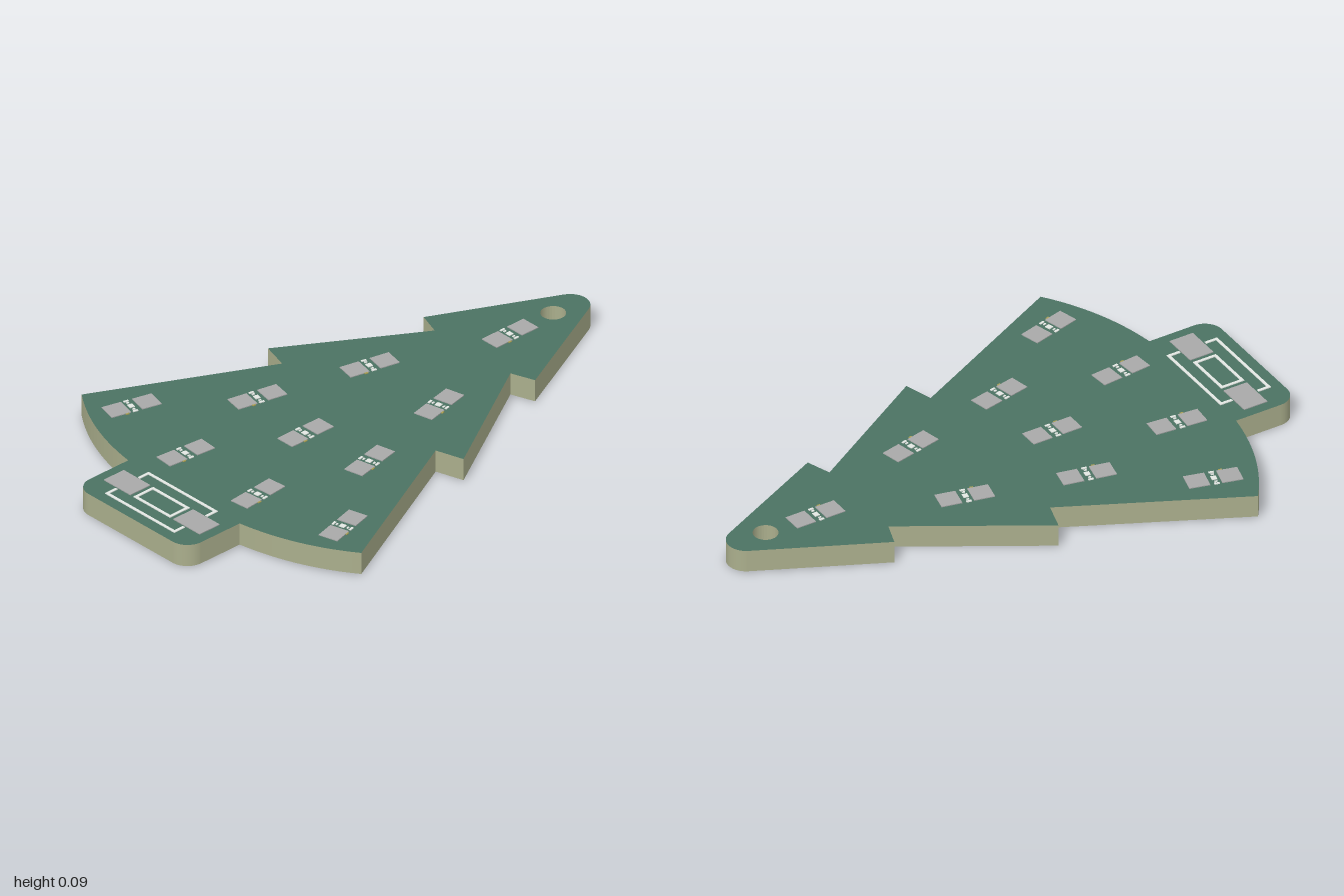
import * as THREE from 'three';

const mat = (name, color) => {
  const m = new THREE.MeshStandardMaterial({ color });
  m.name = name;
  return m;
};

export function createModel() {
  const green = mat('greenMask', 0x4b7262);
  const cream = mat('boardCore', 0xaaae8c);
  const grey = mat('padMetal', 0xa8a8a8);
  const white = mat('whiteInk', 0xe6eae6);
  const gold = mat('goldMark', 0xa89f55);

  const root = new THREE.Group();
  root.name = 'treeCircuitBoard';
  const BOTTOM = 0.003, TOP = 0.083, T = 0.003;
  const yTop = TOP + T / 2, yBottom = BOTTOM - T / 2;

  const group = (name, parent = root) => {
    const g = new THREE.Group();
    g.name = name;
    parent.add(g);
    return g;
  };
  // Thin rectangular plate lying on a board face
  const plate = (parent, name, m, x, y, z, w, d, turn = 0) => {
    const p = new THREE.Mesh(new THREE.BoxGeometry(w, T, d), m);
    p.name = name;
    p.position.set(x, y, z);
    p.rotation.y = turn;
    parent.add(p);
  };
  // Thin printed line through a list of [x, z] points
  const line = (parent, name, y, pts, w = 0.008) => {
    for (let i = 1; i < pts.length; i++) {
      const [ax, az] = pts[i - 1], [bx, bz] = pts[i];
      const len = Math.hypot(bx - ax, bz - az) + w;
      plate(parent, name, white, (ax + bx) / 2, y, (az + bz) / 2, w, len, Math.atan2(bx - ax, bz - az));
    }
  };

  // Board: tree outline with rounded tip, trunk and hanging hole
  const s = new THREE.Shape();
  s.moveTo(0.058, 0.965);
  s.lineTo(0.265, 0.535);
  s.lineTo(0.18, 0.505);
  s.lineTo(0.465, 0.035);
  s.lineTo(0.365, 0.005);
  s.lineTo(0.665, -0.6);
  s.quadraticCurveTo(0.49, -0.73, 0.265, -0.765);
  s.lineTo(0.265, -0.935);
  s.absarc(0.2, -0.935, 0.065, 0, -Math.PI / 2, true);
  s.lineTo(-0.2, -1);
  s.absarc(-0.2, -0.935, 0.065, -Math.PI / 2, -Math.PI, true);
  s.lineTo(-0.265, -0.765);
  s.quadraticCurveTo(-0.49, -0.73, -0.665, -0.6);
  s.lineTo(-0.365, 0.005);
  s.lineTo(-0.465, 0.035);
  s.lineTo(-0.18, 0.505);
  s.lineTo(-0.265, 0.535);
  s.lineTo(-0.058, 0.965);
  s.absarc(0, 0.935, 0.065, Math.PI - 0.48, 0.48, true);
  const hole = new THREE.Path();
  hole.absarc(0, 0.86, 0.042, 0, Math.PI * 2, false);
  s.holes.push(hole);
  const geo = new THREE.ExtrudeGeometry(s, { depth: TOP - BOTTOM, bevelEnabled: false, curveSegments: 14 });
  geo.rotateX(-Math.PI / 2);
  geo.translate(0, BOTTOM, 0);
  const board = new THREE.Mesh(geo, [green, cream]);
  board.name = 'board';
  root.add(board);

  // Light footprints on the top face: two pads and small printed marks
  const light = (x, z, turn) => {
    const g = group('lightFootprint');
    g.position.set(x, yTop, z);
    g.rotation.y = turn;
    for (const side of [-1, 1]) {
      plate(g, 'lightPad', grey, 0, 0, side * 0.056, 0.071, 0.071);
      plate(g, 'lightMark', white, side * 0.033, 0, 0.003, 0.008, 0.018);
      plate(g, 'lightMark', white, side * 0.021, 0, 0.003, 0.006, 0.01);
    }
    plate(g, 'polarityMark', white, 0, 0, 0.002, 0.02, 0.018);
    plate(g, 'goldDot', gold, 0.038, 0, 0.035, 0.006, 0.012);
  };
  light(0, -0.67, 0);
  light(0, 0.23, 0);
  for (const [x, z, a] of [[0.165, -0.205, 0.22], [0.267, 0.195, 0.21], [0.503, 0.53, 0.26], [0.172, 0.598, 0.09]]) {
    light(x, z, a);
    light(-x, z, -a);
  }

  // Push button footprint on the trunk
  const button = group('buttonFootprint');
  for (const k of [-1, 1]) {
    plate(button, 'buttonPad', grey, k * 0.165, yTop, 0.863, 0.126, 0.088);
    line(button, 'buttonBracket', yTop,
      k < 0 ? [[-0.16, 0.81], [-0.16, 0.773], [0.16, 0.773], [0.16, 0.81]]
        : [[-0.16, 0.918], [-0.16, 0.955], [0.16, 0.955], [0.16, 0.918]], 0.01);
  }
  line(button, 'buttonFrame', yTop,
    [[-0.082, 0.825], [0.082, 0.825], [0.082, 0.902], [-0.082, 0.902], [-0.082, 0.825]], 0.01);

  // Battery holder on the underside
  const battery = group('batteryFootprint');
  const disc = new THREE.Mesh(new THREE.CylinderGeometry(0.273, 0.273, T, 64), grey);
  disc.name = 'batteryContact';
  disc.position.set(0, yBottom, 0.4);
  battery.add(disc);
  for (const k of [-1, 1]) {
    plate(battery, 'batteryTab', grey, k * 0.395, yBottom, 0.4, 0.16, 0.26);
    line(battery, 'batteryOutline', yBottom, [[k * 0.27, 0.17], [k * 0.39, 0.21], [k * 0.39, 0.255]], 0.005);
    line(battery, 'batteryOutline', yBottom, [[k * 0.39, 0.545], [k * 0.39, 0.645], [k * 0.29, 0.65]], 0.005);
  }
  line(battery, 'plusMark', yBottom, [[0.5, 0.4], [0.54, 0.4]], 0.006);
  line(battery, 'plusMark', yBottom, [[0.52, 0.38], [0.52, 0.42]], 0.006);

  // Controller footprint: centre pad with a ring of pins
  const chip = group('chipFootprint');
  chip.position.set(0, yBottom, -0.19);
  plate(chip, 'chipCentrePad', grey, 0, 0, 0, 0.105, 0.105);
  for (let q = 0; q < 4; q++) {
    const edge = group('chipEdge', chip);
    edge.rotation.y = q * Math.PI / 2;
    for (let i = -3; i <= 3; i++) {
      plate(edge, 'chipPin', grey, i * 0.021, 0, 0.083, 0.011, 0.028);
      if (i < 3) plate(edge, 'goldGap', gold, (i + 0.5) * 0.021, 0, 0.083, 0.003, 0.024);
    }
  }

  // Small component pads on the underside
  const parts = group('componentPads');
  for (const x of [-0.065, 0.065])
    for (const z of [-0.7, -0.6]) plate(parts, 'upperPad', grey, x, yBottom, z, 0.07, 0.06);
  for (const x of [0.26, 0.16])
    for (const z of [-0.14, -0.055, 0.03]) plate(parts, 'smallPad', grey, x, yBottom, z, 0.058, 0.05);
  for (const x of [0.05, -0.095, -0.21, -0.31])
    for (const z of [-0.035, 0.05]) plate(parts, 'smallPad', grey, x, yBottom, z, 0.058, 0.05);
  plate(parts, 'smallPad', grey, -0.285, yBottom, -0.13, 0.058, 0.05);
  for (const z of [0.595, 0.665]) plate(parts, 'sidePad', grey, 0.47, yBottom, z, 0.055, 0.045);

  // Connector pads under the trunk
  const connector = group('connectorPads');
  for (const k of [-1, 1]) {
    for (let i = 0; i < 4; i++)
      plate(connector, 'connectorPad', grey, k * 0.11, yBottom, 0.765 + i * 0.052, 0.14, 0.034);
    line(connector, 'connectorOutline', yBottom,
      [[k * 0.1, 0.735], [k * 0.21, 0.735], [k * 0.21, 0.955], [k * 0.1, 0.955]], 0.005);
  }
  return root;
}
